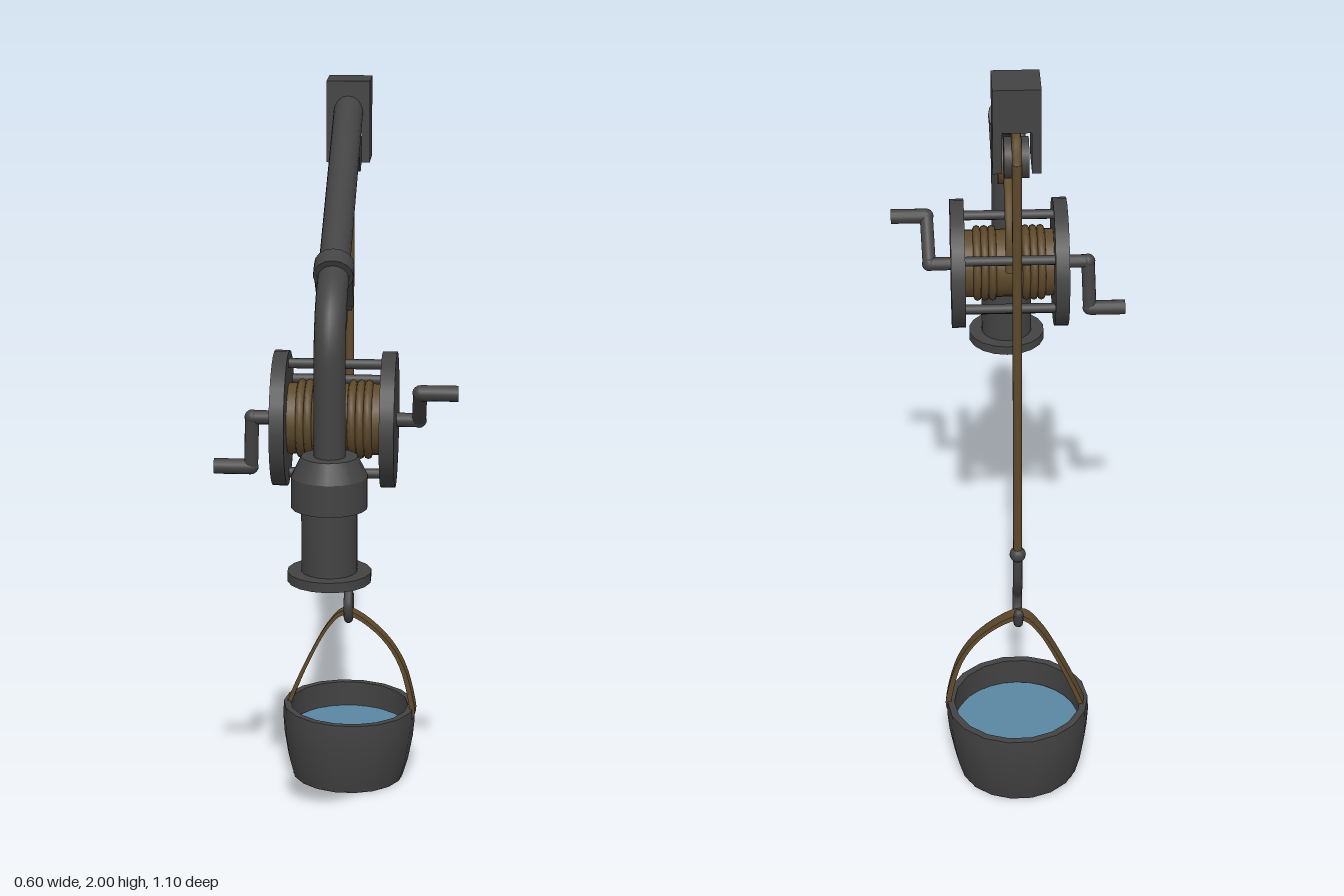
import * as THREE from 'three';

const mat = (name, color, side = THREE.FrontSide) => {
  const m = new THREE.MeshStandardMaterial({ color, side });
  m.name = name;
  return m;
};

export function createModel() {
  const iron = mat('dark iron', 0x434343, THREE.DoubleSide);
  const rope = mat('brown rope', 0x5e4a2c);
  const water = mat('water blue', 0x5a87a2, THREE.DoubleSide);
  const model = new THREE.Group();
  model.name = 'wellCrane';

  // the crane swings about its post; inside it, the boom runs along -z
  const crane = new THREE.Group();
  crane.name = 'crane';
  crane.position.set(-0.035, 0, 0.445);
  crane.rotation.y = -0.18;
  model.add(crane);

  const V = (x, y, z) => new THREE.Vector3(x, y, z);
  const add = (parent, name, geo, material, x = 0, y = 0, z = 0) => {
    const m = new THREE.Mesh(geo, material);
    m.name = name;
    m.position.set(x, y, z);
    parent.add(m);
    return m;
  };
  // cylinder between two points
  const bar = (parent, name, a, b, r, material, sides = 14) => {
    const m = add(parent, name, new THREE.CylinderGeometry(r, r, a.distanceTo(b), sides), material);
    m.position.copy(a).lerp(b, 0.5);
    m.quaternion.setFromUnitVectors(V(0, 1, 0), b.clone().sub(a).normalize());
    return m;
  };
  const tube = (parent, name, points, r, material, steps = 32) =>
    add(parent, name, new THREE.TubeGeometry(new THREE.CatmullRomCurve3(points), steps, r, 10), material);
  // lathe with crisp profile corners: one band per profile segment
  const lathe = (parent, name, profile, sides, material) => {
    const g = new THREE.Group();
    g.name = name;
    for (let i = 0; i + 1 < profile.length; i++) {
      const pts = [profile[i], profile[i + 1]].map(([r, y]) => new THREE.Vector2(r, y));
      add(g, name + 'Band', new THREE.LatheGeometry(pts, sides), material);
    }
    parent.add(g);
    return g;
  };

  // hollow post with foot flange and tapered collar
  lathe(crane, 'post', [[0.055, 1.05], [0.055, 0.89], [0.085, 0.86], [0.105, 0.86], [0.105, 0.885],
    [0.07, 0.885], [0.07, 1.05], [0.095, 1.05], [0.095, 1.13], [0.07, 1.18], [0.03, 1.18]], 18, iron);
  add(crane, 'postPlug', new THREE.CylinderGeometry(0.055, 0.055, 0.01, 18), iron, 0, 1.05, 0);
  add(crane, 'drumBracket', new THREE.BoxGeometry(0.12, 0.1, 0.13), iron, 0, 1.105, -0.06);

  // bent boom pipe
  const boom = new THREE.CurvePath();
  boom.add(new THREE.LineCurve3(V(0, 1.1, 0), V(0, 1.41, 0)));
  boom.add(new THREE.QuadraticBezierCurve3(V(0, 1.41, 0), V(0, 1.53, 0), V(0, 1.585, -0.11)));
  boom.add(new THREE.LineCurve3(V(0, 1.585, -0.11), V(0, 1.935, -0.76)));
  add(crane, 'boomPipe', new THREE.TubeGeometry(boom, 60, 0.039, 16), iron);

  // boom head: cap, two cheeks and a pulley wheel
  add(crane, 'headCap', new THREE.BoxGeometry(0.115, 0.11, 0.115), iron, 0, 1.945, -0.783);
  for (const s of [-1, 1])
    add(crane, 'headCheek', new THREE.BoxGeometry(0.022, 0.11, 0.115), iron, s * 0.0465, 1.84, -0.783);
  bar(crane, 'headPulley', V(-0.03, 1.8, -0.783), V(0.03, 1.8, -0.783), 0.05, iron, 20);

  // clamp, hanger straps and guide pulley under the boom
  bar(crane, 'boomClamp', V(0, 1.602, -0.13), V(0, 1.624, -0.171), 0.05, iron, 16);
  for (const s of [-1, 1]) {
    bar(crane, 'pulleyHanger', V(s * 0.038, 1.61, -0.135), V(s * 0.034, 1.51, -0.212), 0.011, iron, 8);
    bar(crane, 'guidePulleyDisc', V(s * 0.012, 1.51, -0.212), V(s * 0.028, 1.51, -0.212), 0.06, rope, 20);
  }
  bar(crane, 'guidePulleyCore', V(-0.02, 1.51, -0.212), V(0.02, 1.51, -0.212), 0.042, rope);
  bar(crane, 'guidePulleyPin', V(-0.042, 1.51, -0.212), V(0.042, 1.51, -0.212), 0.012, iron, 8);

  // winch drum
  const drum = new THREE.Group();
  drum.name = 'winchDrum';
  drum.position.set(0, 1.215, -0.223);
  crane.add(drum);
  bar(drum, 'ropeSpool', V(-0.12, 0, 0), V(0.12, 0, 0), 0.09, rope, 24);
  for (const x of [-0.085, -0.065, -0.045, 0.045, 0.065, 0.085])
    add(drum, 'ropeCoil', new THREE.TorusGeometry(0.09, 0.011, 8, 24), rope, x).rotation.y = Math.PI / 2;
  for (const s of [-1, 1])
    bar(drum, 'drumFlange', V(s * 0.118, 0, 0), V(s * 0.155, 0, 0), 0.172, iron, 28);
  for (const deg of [90, 30, -30, -90]) {
    const a = THREE.MathUtils.degToRad(deg), y = 0.143 * Math.sin(a), z = -0.143 * Math.cos(a);
    bar(drum, 'drumTieRod', V(-0.12, y, z), V(0.12, y, z), 0.013, iron, 10);
  }

  // cranks on both ends, set at different angles
  const crank = (s, y, z) => {
    const elbow = V(s * 0.212, 0, 0), grip = V(s * 0.217, y, z);
    bar(drum, 'crankAxle', V(s * 0.14, 0, 0), elbow, 0.018, iron);
    bar(drum, 'crankArm', elbow, grip, 0.018, iron);
    bar(drum, 'crankHandle', grip, V(s * 0.312, y, z), 0.02, iron);
    for (const p of [elbow, grip])
      add(drum, 'crankElbow', new THREE.SphereGeometry(0.0195, 12, 8), iron, p.x, p.y, p.z);
  };
  crank(1, 0.095, 0.095);
  crank(-1, -0.135, -0.015);

  // rope: drum to guide pulley, up to the head, down to the hook
  tube(crane, 'drumRope', [V(0, 1.24, -0.325), V(0, 1.355, -0.3), V(0, 1.415, -0.25), V(0, 1.452, -0.195),
    V(0, 1.49, -0.155), V(0, 1.54, -0.165), V(0, 1.565, -0.215)], 0.012, rope);
  bar(crane, 'boomRope', V(0, 1.56, -0.21), V(0, 1.825, -0.735), 0.012, rope, 10);
  tube(crane, 'headRope', [V(0, 1.82, -0.728), V(0, 1.853, -0.765), V(0, 1.85, -0.805), V(0, 1.8, -0.832)],
    0.012, rope, 16);
  bar(crane, 'hangingRope', V(0, 1.805, -0.832), V(0, 0.68, -0.815), 0.012, rope, 10);
  add(crane, 'ropeKnob', new THREE.SphereGeometry(0.021, 14, 10), iron, 0, 0.68, -0.815);
  const hook = [[0.68, 0.815], [0.6, 0.812], [0.56, 0.795], [0.52, 0.772], [0.484, 0.785], [0.472, 0.82],
    [0.49, 0.85], [0.525, 0.862]];
  tube(crane, 'hook', hook.map(([y, d]) => V(0, y, -d)), 0.0125, iron, 40);
  add(crane, 'hookTip', new THREE.SphereGeometry(0.0125, 10, 8), iron, 0, 0.525, -0.862);

  // bucket, slightly tilted
  const bucket = new THREE.Group();
  bucket.name = 'bucket';
  bucket.position.set(0.11, 0.003, -0.36);
  bucket.rotation.z = -0.015;
  model.add(bucket);
  const shell = [[0.158, 0.0], [0.172, 0.05], [0.184, 0.12], [0.188, 0.17], [0.187, 0.212]];
  add(bucket, 'bucketWall', new THREE.LatheGeometry(shell.map(p => new THREE.Vector2(...p)), 18), iron);
  lathe(bucket, 'bucketRim', [[0.187, 0.212], [0.168, 0.212], [0.17, 0.12], [0.155, 0.01]], 18, iron);
  const base = add(bucket, 'bucketBase', new THREE.CircleGeometry(0.158, 18), iron, 0, 0.002, 0);
  base.rotation.x = Math.PI / 2;
  const surface = add(bucket, 'waterSurface', new THREE.CircleGeometry(0.166, 28), water, 0.004, 0.14, 0);
  surface.rotation.x = -Math.PI / 2;

  // arched strap handle
  const arch = (grow) => new THREE.SplineCurve([[-0.165, 0.18], [-0.16, 0.22], [-0.115, 0.33], [-0.055, 0.445],
    [0, 0.487], [0.09, 0.43], [0.15, 0.34], [0.18, 0.22], [0.175, 0.18]].map(([x, y]) =>
    new THREE.Vector2(x * (1 + grow * 6), y + grow * Math.max(0, 1 - Math.abs(x) * 6)))).getPoints(36);
  const strap = new THREE.ExtrudeGeometry(
    new THREE.Shape([...arch(0.012), ...arch(-0.002).reverse()]), { depth: 0.036, bevelEnabled: false });
  strap.translate(0, 0, -0.018);
  const handle = add(model, 'bucketHandle', strap, rope, 0.11, 0, -0.36);
  handle.rotation.y = -0.27;

  return model;
}
